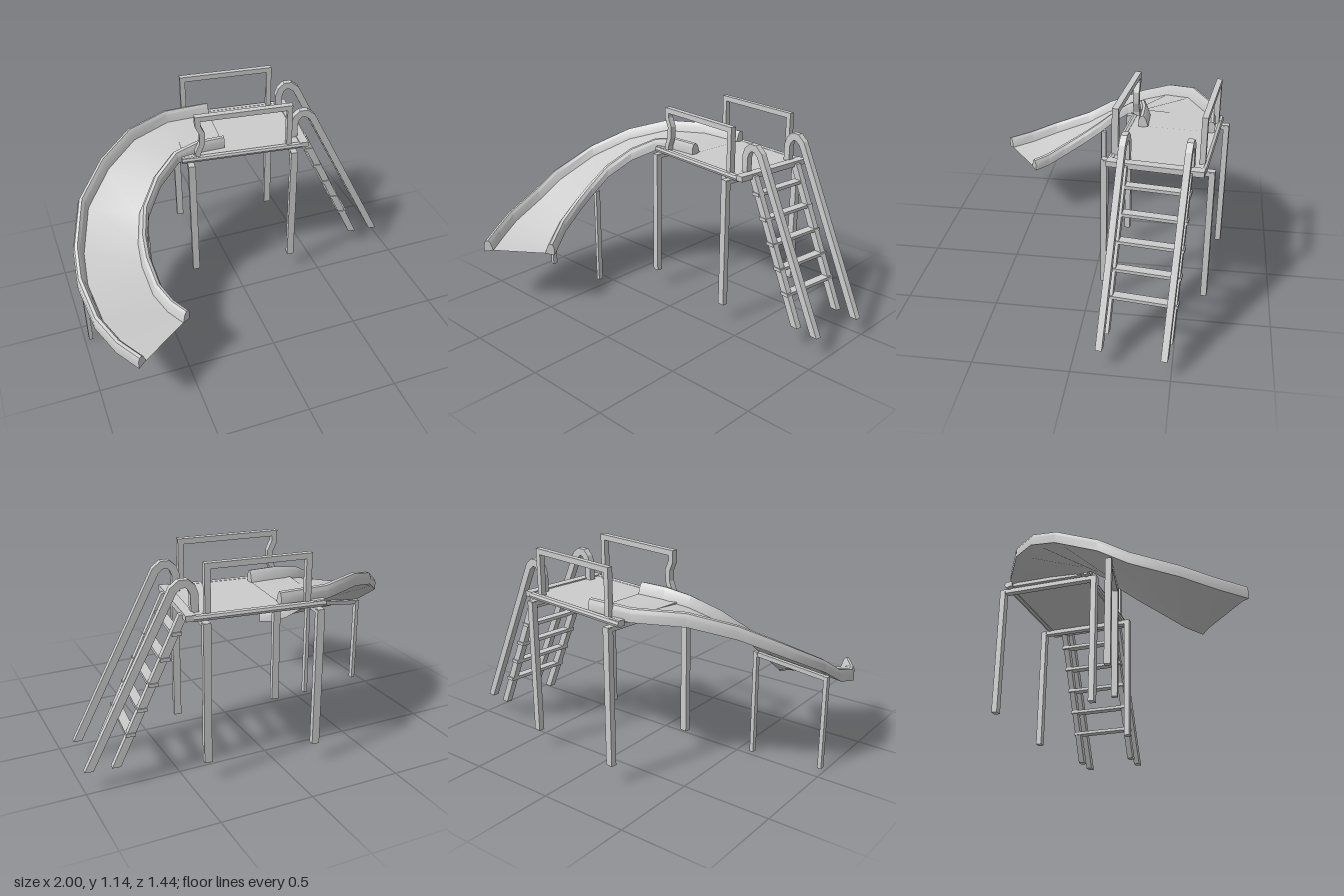
import * as THREE from 'three';
import { toCreasedNormals } from 'three/addons/utils/BufferGeometryUtils.js';

const mat = new THREE.MeshStandardMaterial({ color: 0xcccccc, flatShading: true });
const sheetMat = new THREE.MeshStandardMaterial({ color: 0xcccccc, side: THREE.DoubleSide });

function add(parent, name, geometry, x = 0, y = 0, z = 0, material = mat) {
  const m = new THREE.Mesh(geometry, material);
  m.name = name;
  m.position.set(x, y, z);
  parent.add(m);
  return m;
}

const box = (parent, name, w, h, d, x, y, z) => add(parent, name, new THREE.BoxGeometry(w, h, d), x, y, z);

// Straight square bar between two points
function bar(parent, name, a, b, size) {
  const p = new THREE.Vector3(...a), q = new THREE.Vector3(...b);
  const m = add(parent, name, new THREE.BoxGeometry(size, size, p.distanceTo(q)));
  m.position.copy(p).add(q).multiplyScalar(0.5);
  m.lookAt(q);
}

// Bent flat bar in the x-y plane: mitred corners, level cuts at both ends
function bentBar(parent, name, points, width, depth, z) {
  const pts = points.map(p => new THREE.Vector2(...p));
  const normal = i => {
    const d = pts[i + 1].clone().sub(pts[i]).normalize();
    return new THREE.Vector2(-d.y, d.x);
  };
  const last = pts.length - 1;
  const offsets = pts.map((p, i) => {
    if (i === 0 || i === last) return new THREE.Vector2(1 / normal(i ? i - 1 : 0).x, 0);
    const a = normal(i - 1), b = normal(i);
    return a.clone().add(b).divideScalar(1 + a.dot(b));
  });
  const side = s => pts.map((p, i) => p.clone().addScaledVector(offsets[i], s * width / 2));
  const shape = new THREE.Shape([...side(1), ...side(-1).reverse()]);
  const geometry = new THREE.ExtrudeGeometry(shape, { depth, bevelEnabled: false });
  add(parent, name, geometry, 0, 0, z - depth / 2);
}

// Curved chute: a thin bed between two closed lips, lofted along the rims
function chuteGeometry(inner, outer) {
  // lip profile: distance in from the edge, height relative to the rim
  const lip = [[0.055, -0.06], [0, -0.07], [0, -0.025], [0.01, -0.004], [0.026, 0], [0.04, -0.015], [0.055, -0.06]];
  const rings = inner.map((a, i) => {
    const p = new THREE.Vector3(...a), q = new THREE.Vector3(...outer[i]);
    const across = q.clone().sub(p).setY(0).normalize();
    const place = (base, s) => ([t, h]) => {
      const v = base.clone().addScaledVector(across, s * t);
      v.y += h;
      return v;
    };
    return [...lip.map(place(p, 1)), ...lip.map(place(q, -1)).reverse()];
  });
  const out = [];
  const tri = (...v) => v.forEach(p => out.push(p.x, p.y, p.z));
  for (let i = 0; i < rings.length - 1; i++) {
    const r = rings[i], s = rings[i + 1];
    for (let j = 0; j < r.length - 1; j++) {
      tri(r[j], r[j + 1], s[j]);
      tri(r[j + 1], s[j + 1], s[j]);
    }
  }
  // fans closing the lip ends
  const first = rings[0], end = rings[rings.length - 1];
  for (let k = 2; k < 6; k++) {
    for (const [a, b] of [[1, k], [12, k + 5]]) {
      tri(first[a], first[b + 1], first[b]);
      tri(end[a], end[b], end[b + 1]);
    }
  }
  const g = new THREE.BufferGeometry();
  g.setAttribute('position', new THREE.Float32BufferAttribute(out, 3));
  return toCreasedNormals(g, 0.5);
}

export function createModel() {
  const model = new THREE.Group();
  model.name = 'playgroundSlide';

  // Tower, turned slightly from the chute
  const tower = new THREE.Group();
  tower.name = 'tower';
  tower.position.set(0.09, 0, -0.395);
  tower.rotation.y = -0.115;
  model.add(tower);

  // Platform with edge rails
  box(tower, 'deck', 0.68, 0.02, 0.47, 0, 0.875, 0);
  box(tower, 'deckEndBoard', 0.05, 0.03, 0.5, 0.35, 0.877, 0.003);
  for (const s of [-1, 1]) {
    const edge = new THREE.CylinderGeometry(0.019, 0.019, 0.69, 8).rotateZ(Math.PI / 2);
    add(tower, 'deckEdgeRail', edge, -0.01, 0.873, 0.003 + s * 0.238);
    box(tower, 'deckCornerBlock', 0.07, 0.03, 0.04, -0.32, 0.875, 0.003 + s * 0.23);
  }

  // Posts and the beams joining them
  for (const u of [-0.309, 0.282]) {
    for (const s of [-1, 1]) box(tower, 'post', 0.04, 0.745, 0.032, u, 0.4825, 0.003 + s * 0.279);
    box(tower, 'crossBeam', 0.036, 0.025, 0.59, u, 0.8475, 0.003);
  }

  // Guard rails; the front one has a bent leg
  const guardEnd = [[-0.26, 1.125], [0.262, 1.125], [0.262, 0.87]];
  bentBar(tower, 'backGuardRail', [[-0.26, 0.87], ...guardEnd], 0.03, 0.03, -0.223);
  bentBar(tower, 'frontGuardRail',
    [[-0.262, 0.87], [-0.262, 0.91], [-0.238, 0.97], [-0.237, 1.03], [-0.26, 1.08], ...guardEnd], 0.03, 0.034, 0.23);

  // Ladder: hooked handrails, stringers and treads
  const ladder = new THREE.Group();
  ladder.name = 'ladder';
  tower.add(ladder);
  for (const z of [-0.172, 0.157]) {
    bentBar(ladder, 'ladderHandrail',
      [[0.312, 0.865], [0.312, 0.975], [0.325, 1.01], [0.35, 1.033], [0.383, 1.033], [0.418, 1.005], [0.868, 0.11]],
      0.04, 0.034, z);
    bentBar(ladder, 'ladderStringer', [[0.368, 0.88], [0.73, 0.11]], 0.04, 0.034, z);
  }
  for (let i = 0; i < 5; i++) {
    box(ladder, 'tread', 0.05, 0.018, 0.375, 0.405 + i * 0.0615, 0.785 - i * 0.126, -0.008);
  }

  // Curved chute
  const innerRim = [
    [-0.03, 0.95, -0.22], [-0.18, 0.95, -0.22], [-0.31, 0.925, -0.2], [-0.44, 0.85, -0.12], [-0.54, 0.745, -0.02],
    [-0.58, 0.64, 0.08], [-0.59, 0.565, 0.17], [-0.575, 0.475, 0.3], [-0.53, 0.425, 0.39], [-0.475, 0.405, 0.47]];
  const outerRim = [
    [0, 0.95, -0.64], [-0.27, 0.95, -0.64], [-0.52, 0.945, -0.52], [-0.72, 0.88, -0.37], [-0.89, 0.77, -0.19],
    [-0.98, 0.64, 0.05], [-1, 0.545, 0.2], [-0.97, 0.465, 0.43], [-0.9, 0.42, 0.59], [-0.815, 0.405, 0.72]];
  add(model, 'chute', chuteGeometry(innerRim, outerRim), 0, 0, 0, sheetMat);

  // Chute support frame
  box(model, 'chuteLeg', 0.022, 0.595, 0.03, -0.575, 0.2975, 0.045);
  box(model, 'chuteLeg', 0.022, 0.53, 0.03, -0.965, 0.265, 0.1);
  bar(model, 'chuteCrossbar', [-0.575, 0.582, 0.045], [-0.965, 0.517, 0.1], 0.024);

  return model;
}
